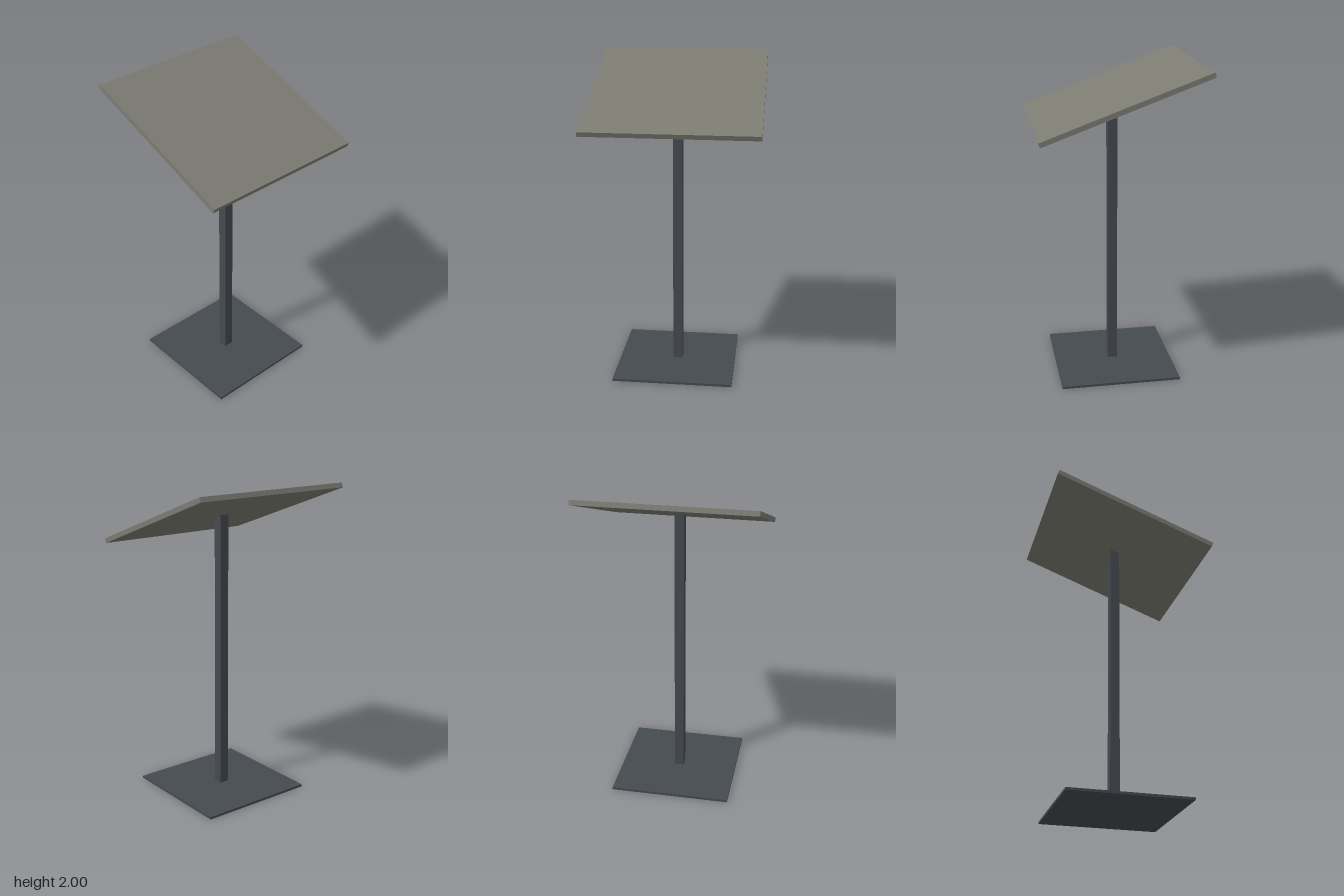
import * as THREE from 'three';

export function createModel() {
  const group = new THREE.Group();
  const steel = new THREE.MeshStandardMaterial({ color: 0x454a50 });
  steel.name = 'dark steel';
  const board = new THREE.MeshStandardMaterial({ color: 0x7b7b72 });
  board.name = 'warm grey board';

  const addBox = (name, [w, h, d], y, material) => {
    const mesh = new THREE.Mesh(new THREE.BoxGeometry(w, h, d), material);
    mesh.name = name;
    mesh.position.y = y;
    group.add(mesh);
    return mesh;
  };

  // Flat square foot
  addBox('basePlate', [0.757, 0.015, 0.757], 0.0075, steel);

  // Square post, its top buried in the panel
  addBox('post', [0.06, 1.785, 0.06], 0.015 + 1.785 / 2, steel);

  // Square display panel, tilted towards the front
  const panel = addBox('displayPanel', [1.064, 0.03, 1.064], 1.804, board);
  panel.rotation.x = THREE.MathUtils.degToRad(20);

  return group;
}
